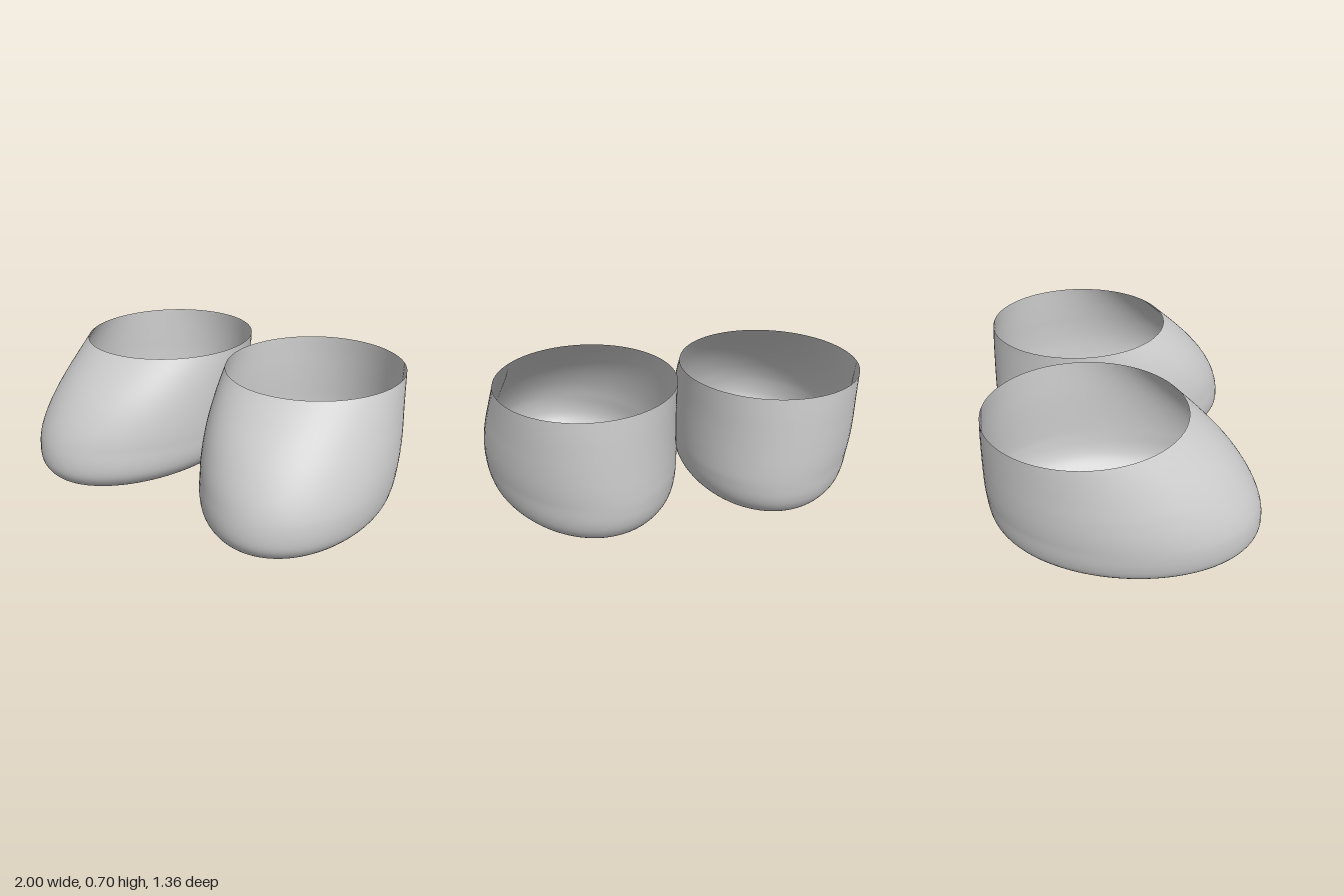
import * as THREE from 'three';

// Height levels of one shoe: [y, outer x, inner x, front z, back z]
const LEVELS = [
  [0, 0.53, 0.53, 0, 0],
  [0.004, 0.72, 0.34, 0.30, -0.29],
  [0.012, 0.82, 0.21, 0.49, -0.44],
  [0.025, 0.88, 0.15, 0.57, -0.53],
  [0.05, 0.93, 0.10, 0.625, -0.60],
  [0.1, 0.974, 0.055, 0.663, -0.645],
  [0.16, 0.993, 0.033, 0.672, -0.668],
  [0.24, 1.0, 0.024, 0.66, -0.677],
  [0.33, 0.996, 0.021, 0.627, -0.68],
  [0.43, 0.981, 0.021, 0.568, -0.678],
  [0.52, 0.962, 0.022, 0.497, -0.675],
  [0.61, 0.943, 0.023, 0.408, -0.671],
  [0.7, 0.925, 0.025, 0.308, -0.665],
];
const RINGS = 60, SIDES = 80;

// Loft of slightly skewed ovals, closed by a sole and open at the ankle
function shoeGeometry(side) {
  const extra = side < 0 ? 1 : 0; // the right shoe is a touch roomier
  const outerFront = new THREE.CatmullRomCurve3(LEVELS.map(([y, o, , f]) =>
    new THREE.Vector3(o + extra * 0.014 * Math.max(0, y - 0.2) * 2, y, f + extra * 0.01 * (1 - y / 0.7))));
  const innerBack = new THREE.CatmullRomCurve3(LEVELS.map(([y, , i, , b]) =>
    new THREE.Vector3(i - extra * 0.005, y, b)));
  outerFront.curveType = innerBack.curveType = 'catmullrom';

  const positions = [], index = [];
  for (let r = 0; r <= RINGS; r++) {
    const p = outerFront.getPoint(r / RINGS), q = innerBack.getPoint(r / RINGS);
    const cx = (p.x + q.x) / 2, cz = (p.z + q.z) / 2;
    const w = Math.max(0, (p.x - q.x) / 2), l = Math.max(0, (p.z - q.z) / 2);
    // toes point outward, fading to a straight oval at the rim
    const skew = Math.min(w, 0.065 * Math.min(1, (0.7 - p.y) / 0.45) * l / 0.67);
    const across = Math.sqrt(w * w - skew * skew);
    for (let k = 0; k < SIDES; k++) {
      const t = k / SIDES * Math.PI * 2;
      positions.push(side * (cx + across * Math.cos(t) + skew * Math.sin(t)),
        Math.max(0, p.y), cz + l * Math.sin(t));
    }
  }
  for (let r = 0; r < RINGS; r++) {
    for (let k = 0; k < SIDES; k++) {
      const a = r * SIDES + k, b = r * SIDES + (k + 1) % SIDES;
      const c = a + SIDES, d = b + SIDES;
      if (side > 0) index.push(a, c, b, b, c, d);
      else index.push(a, b, c, b, d, c);
    }
  }
  const geometry = new THREE.BufferGeometry();
  geometry.setAttribute('position', new THREE.Float32BufferAttribute(positions, 3));
  geometry.setIndex(index);
  geometry.computeVertexNormals();
  return geometry;
}

export function createModel() {
  const model = new THREE.Group();
  model.name = 'shoes';
  const grey = new THREE.MeshStandardMaterial({ color: 0xcccccc, side: THREE.DoubleSide });
  grey.name = 'light grey';
  for (const [name, side] of [['leftShoe', 1], ['rightShoe', -1]]) {
    const shoe = new THREE.Mesh(shoeGeometry(side), grey);
    shoe.name = name;
    model.add(shoe);
  }
  return model;
}
